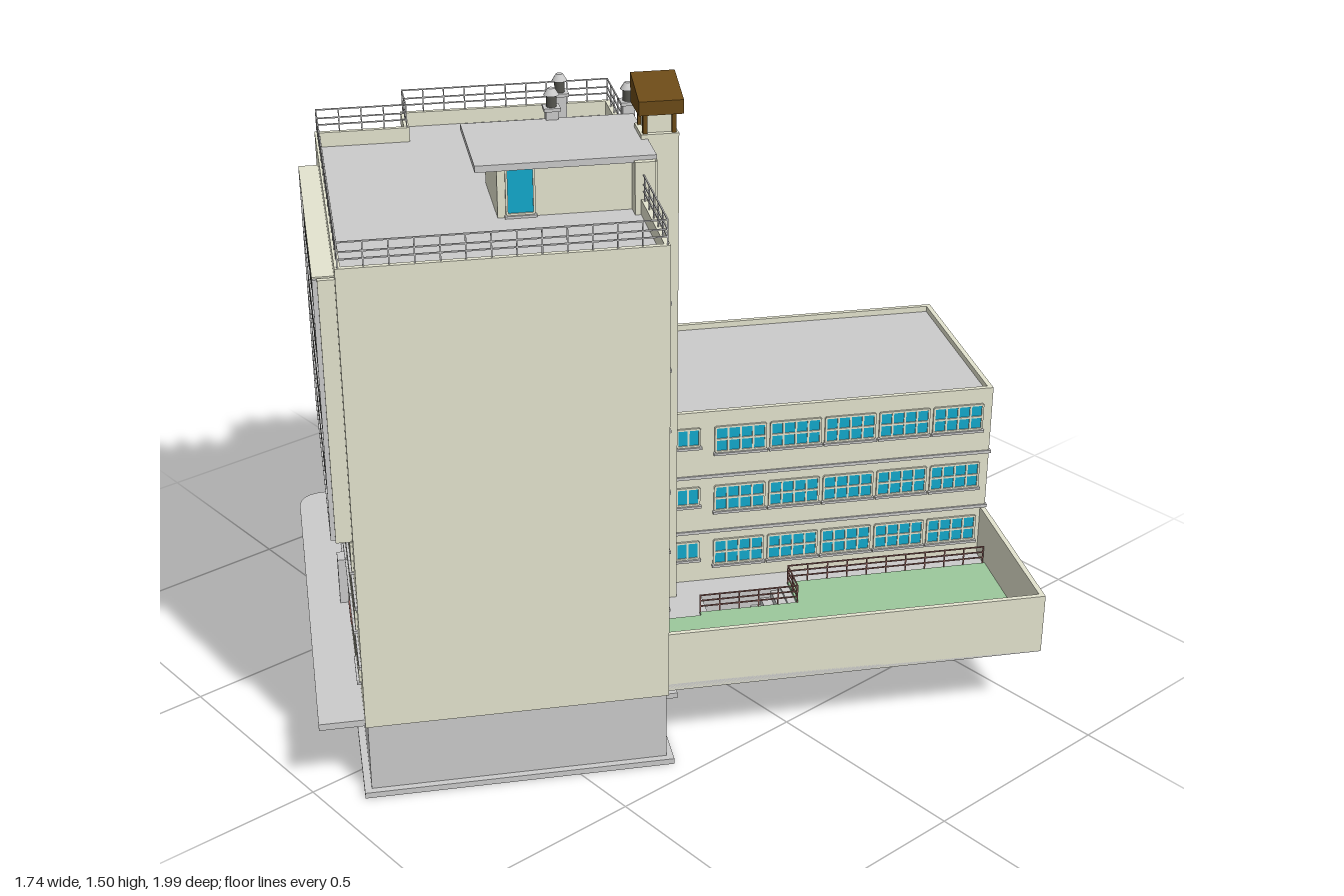
import * as THREE from 'three';

const mat = (color, side = THREE.FrontSide) => new THREE.MeshStandardMaterial({ color, side });
const CREAM = mat(0xe4e4cf), GREY = mat(0xcccccc), GLASS = mat(0x12a9cc), GREEN = mat(0x9cc89c),
  BROWN = mat(0x6b4a17), RED = mat(0x8f625c), DARK = mat(0x55554f);

export function createModel() {
  const root = new THREE.Group();
  root.name = 'officeBuilding';
  const site = new THREE.Group(); // plan axes of the building, turned 30 degrees
  site.name = 'site';
  site.rotation.y = -Math.PI / 6;
  root.add(site);

  const add = (name, geo, m, parent = site) => {
    const mesh = new THREE.Mesh(geo, m);
    mesh.name = name;
    parent.add(mesh);
    return mesh;
  };
  // box given by its limits
  const box = (name, x0, x1, y0, y1, z0, z1, m, parent) => {
    const g = new THREE.BoxGeometry(x1 - x0, y1 - y0, z1 - z0);
    g.translate((x0 + x1) / 2, (y0 + y1) / 2, (z0 + z1) / 2);
    return add(name, g, m, parent);
  };
  // vertical prism over a plan outline of [x, z] corners
  const toPts = (pts) => pts.map(([x, z]) => new THREE.Vector2(x, -z));
  const prism = (name, pts, y0, y1, m, hole) => {
    const s = new THREE.Shape(toPts(pts));
    if (hole) s.holes.push(new THREE.Path(toPts(hole)));
    const g = new THREE.ExtrudeGeometry(s, { depth: y1 - y0, bevelEnabled: false });
    g.rotateX(-Math.PI / 2).translate(0, y0, 0);
    return add(name, g, m);
  };
  // move the sides of a right-angled outline inward by t
  const inset = (pts, t) => {
    const n = pts.length;
    const sign = Math.sign(THREE.ShapeUtils.area(pts.map(([x, y]) => ({ x, y }))));
    const normal = (p, q) => {
      const l = Math.hypot(q[0] - p[0], q[1] - p[1]);
      return [-sign * (q[1] - p[1]) / l, sign * (q[0] - p[0]) / l];
    };
    return pts.map((p, i) => {
      const a = normal(pts[(i + n - 1) % n], p), b = normal(p, pts[(i + 1) % n]);
      return [p[0] + t * (a[0] + b[0]), p[1] + t * (a[1] + b[1])];
    });
  };
  // solid block with a sunken flat roof and a parapet
  const block = (name, pts, y0, y1, drop) => {
    prism(name + 'Walls', pts, y0, y1 - drop - 0.004, CREAM);
    prism(name + 'Roof', inset(pts, 0.002), y1 - drop - 0.004, y1 - drop, GREY);
    prism(name + 'Parapet', pts, y1 - drop - 0.004, y1, CREAM, inset(pts, 0.012));
  };
  // group placed on a wall: local x runs along it, local z points out
  const TURN = { front: 0, right: Math.PI / 2, back: Math.PI, left: -Math.PI / 2 };
  const onWall = (name, side, plane, along, y) => {
    const g = new THREE.Group();
    g.name = name;
    const alongX = side === 'front' || side === 'back';
    g.position.set(alongX ? along : plane, y, alongX ? plane : along);
    g.rotation.y = TURN[side];
    site.add(g);
    return g;
  };
  const glazing = (side, plane, along, y, w, h, panes, rows = 1, name = 'window') => {
    const g = onWall(name, side, plane, along, y), b = 0.005;
    box('glass', -w / 2, w / 2, -h / 2, h / 2, -0.004, 0.002, GLASS, g);
    for (let i = 0; i <= panes; i++) {
      const x = -w / 2 + (w * i) / panes;
      box('mullion', x - b / 2, x + b / 2, -h / 2, h / 2, -0.004, 0.005, CREAM, g);
    }
    for (let j = 0; j <= rows; j++) {
      const yy = -h / 2 + (h * j) / rows;
      box('rail', -w / 2, w / 2, yy - b / 2, yy + b / 2, -0.004, 0.005, CREAM, g);
    }
    box('sill', -w / 2 - 0.005, w / 2 + 0.005, -h / 2 - 0.008, -h / 2 - 0.002, -0.004, 0.01, GREY, g);
    return g;
  };
  // strip of equal windows between two points along a wall
  const strip = (side, plane, from, to, y, h, count, panes) => {
    const step = (to - from) / count;
    for (let i = 0; i < count; i++) glazing(side, plane, from + step * (i + 0.5), y, step * 0.9, h, panes, 2);
  };
  const railing = (name, pts, y, heights, m) => {
    const g = new THREE.Group();
    g.name = name;
    site.add(g);
    const r = 0.0015, top = heights[heights.length - 1];
    for (let i = 0; i + 1 < pts.length; i++) {
      const [x0, z0] = pts[i], [x1, z1] = pts[i + 1];
      for (const h of heights)
        box('bar', Math.min(x0, x1) - r, Math.max(x0, x1) + r, y + h - r, y + h + r,
          Math.min(z0, z1) - r, Math.max(z0, z1) + r, m, g);
      const n = Math.max(1, Math.round(Math.hypot(x1 - x0, z1 - z0) / 0.05));
      for (let k = 0; k <= n; k++) {
        const x = x0 + ((x1 - x0) * k) / n, z = z0 + ((z1 - z0) * k) / n;
        box('post', x - r, x + r, y, y + top, z - r, z + r, m, g);
      }
    }
  };

  // basement, its footing and rear steps
  const basement = [[0.53, 0.735], [0.53, 0.06], [0.27, 0.06], [0.27, 0], [0.155, 0], [0.155, -0.08], [0.235, -0.08],
    [0.235, -0.32], [0.155, -0.32], [0.155, -0.835], [-0.43, -0.835], [-0.43, 0.53], [-0.32, 0.53], [-0.32, 0.735]];
  prism('footing', inset(basement, -0.016), 0, 0.014, GREY);
  const stairHole = [[0.15, -0.3], [0.225, -0.3], [0.225, -0.1], [0.15, -0.1]];
  prism('basementWalls', basement, 0.014, 0.18, GREY, stairHole);
  for (let i = 0; i < 8; i++) box('gardenStep', 0.15, 0.225, 0.014, 0.19 - i * 0.018, -0.3 + i * 0.025, -0.275 + i * 0.025, GREY);
  box('basementStep', 0.16, 0.26, 0.014, 0.035, -0.06, 0, GREY);

  // pavement slab with one rounded corner
  const pave = new THREE.Shape();
  pave.moveTo(-0.552, 0.835).lineTo(-0.552, -0.77).quadraticCurveTo(-0.552, -0.842, -0.48, -0.842)
    .lineTo(0.525, -0.842).lineTo(0.525, -0.7).lineTo(0.08, -0.7).lineTo(0.08, 0.835);
  const paveGeo = new THREE.ExtrudeGeometry(pave, { depth: 0.016, bevelEnabled: false });
  add('pavement', paveGeo.rotateX(-Math.PI / 2).translate(0, 0.18, 0), GREY);

  // garden terrace with walls, lawn and stair rail
  prism('gardenSlab', [[0.08, 0.055], [0.515, 0.055], [0.515, -0.838], [0.08, -0.838]], 0.18, 0.197, GREY, stairHole);
  prism('lawn', [[0.14, -0.826], [0.503, -0.826], [0.503, 0.055], [0.25, 0.055], [0.25, -0.08], [0.235, -0.08],
    [0.235, -0.32], [0.14, -0.32]], 0.197, 0.204, GREEN);
  box('gardenSideWall', 0.503, 0.515, 0.18, 0.33, -0.838, 0.06, CREAM);
  box('gardenBackWall', 0.08, 0.503, 0.18, 0.33, -0.838, -0.826, CREAM);
  railing('gardenRail', [[0.14, -0.82], [0.14, -0.32], [0.235, -0.32], [0.235, -0.08]], 0.2, [0.02, 0.035, 0.05], RED);

  // low wing
  const wing = [[-0.435, 0.03], [0.08, 0.03], [0.08, -0.838], [-0.435, -0.838]];
  block('wing', wing, 0.18, 0.66, 0.015);
  for (const y of [0.33, 0.482]) prism('wingBand', inset(wing, -0.004), y, y + 0.008, GREY);
  for (const y of [0.275, 0.425, 0.585]) {
    strip('right', 0.08, -0.82, -0.14, y, 0.065, 5, 4);
    glazing('right', 0.08, -0.08, y + 0.01, 0.055, 0.045, 2);
    strip('left', -0.435, -0.81, 0, y, 0.07, 6, 4);
  }
  box('wallLampArm', -0.48, -0.435, 0.6, 0.604, -0.166, -0.162, DARK);
  add('wallLamp', new THREE.SphereGeometry(0.014, 12, 8).translate(-0.482, 0.602, -0.164), GREY);

  // tower: lower part set back at the corner, upper part overhanging
  const plan = (x) => [[0.533, 0.74], [0.533, 0.055], [0.13, 0.055], [0.13, 0.018], [-0.43, 0.018], [-0.43, 0.53], [x, 0.53], [x, 0.74]];
  const upper = plan(-0.32);
  prism('towerBase', plan(-0.2), 0.18, 0.48, CREAM);
  block('tower', upper, 0.48, 1.28, 0.035);
  const rim = inset(upper, 0.006);
  railing('roofRailing', [...rim, rim[0]], 1.28, [0.018, 0.034, 0.055], GREY);
  box('frontBand', -0.2, 0.53, 0.33, 0.337, 0.735, 0.745, GREY);
  box('frontBand', -0.32, 0.53, 0.482, 0.489, 0.735, 0.745, GREY);

  // front and left windows of the lower floors, entrances
  for (const y of [0.425, 0.575]) {
    strip('front', 0.74, -0.185, 0.465, y, 0.07, 4, 4);
    strip('left', -0.43, 0.03, 0.5, y, 0.07, 3, 4);
  }
  glazing('front', 0.74, -0.105, 0.278, 0.15, 0.065, 4, 2);
  glazing('front', 0.74, 0.09, 0.255, 0.125, 0.115, 4, 1, 'entranceDoor');
  glazing('front', 0.74, 0.245, 0.255, 0.15, 0.115, 3, 1, 'entranceDoor');
  glazing('front', 0.74, 0.41, 0.285, 0.1, 0.055, 2);
  box('entrancePier', -0.02, 0.02, 0.196, 0.315, 0.74, 0.765, GREY);
  box('entranceSign', 0.2, 0.29, 0.3, 0.312, 0.74, 0.75, RED);
  box('sideGate', -0.436, -0.43, 0.196, 0.3, 0.04, 0.2, GREY);
  glazing('left', -0.43, 0.27, 0.275, 0.09, 0.06, 3);
  box('sideDoor', -0.436, -0.43, 0.196, 0.3, 0.37, 0.42, GREY);
  box('planter', -0.43, -0.2, 0.196, 0.204, 0.53, 0.64, GREEN);
  box('bench', -0.4, -0.35, 0.196, 0.25, 0.6, 0.66, GREY);

  // tower windows above
  [0.425, 0.575, 0.725, 0.875, 1.02, 1.175].forEach((y, i) => {
    for (const x of [0.35, 0.45]) glazing('back', 0.055, x, y, 0.085, 0.075, 2);
    if (i > 0) for (const z of [0.585, 0.685]) glazing('left', -0.32, z, y, 0.08, 0.07, 2);
    if (i > 2) glazing('back', 0.018, -0.09, y, 0.07, 0.075, 2);
  });
  box('blindWindow', -0.125, -0.055, 0.69, 0.76, 0.014, 0.02, GREY);

  // projecting screened bays: floor slabs, posts and groups of upright slats
  const bay = (side, plane, along, w, depth) => {
    const g = onWall(side + 'Bay', side, plane, along, 0);
    box('panel', -w / 2 + 0.006, w / 2 - 0.006, 0.635, 1.232, 0, depth - 0.012, GREY, g);
    for (const s of [-1, 1]) box('cheek', s * w / 2 - 0.006, s * w / 2 + 0.006, 0.63, 1.236, 0, depth, GREY, g);
    box('bayRoof', -w / 2, w / 2, 1.232, 1.24, 0, depth, CREAM, g);
    for (let f = 0; f < 4; f++) {
      const y = 0.63 + f * 0.15;
      box('floorSlab', -w / 2, w / 2, y, y + 0.01, 0, depth, GREY, g);
      box('panelJoint', -0.003, 0.003, y, y + 0.15, 0, depth - 0.006, GREY, g);
      const groups = Math.round(w / 0.13);
      for (let k = 0; k < groups; k++) for (let j = 0; j < 7; j++) {
        const x = -w / 2 + ((k + 0.5) * w) / groups + (j - 3) * 0.014;
        box('slat', x - 0.002, x + 0.002, y + 0.01, y + 0.062, depth - 0.014, depth - 0.003, DARK, g);
      }
    }
  };
  bay('front', 0.74, 0.135, 0.67, 0.045);
  bay('left', -0.43, 0.26, 0.48, 0.052);
  box('frontFin', 0.478, 0.49, 0.63, 1.24, 0.74, 0.775, CREAM);

  // glazed stair shaft, chimney and roof house
  box('stairShaft', 0.145, 0.262, 0.197, 1.365, 0.035, 0.08, CREAM);
  for (let i = 0; i < 7; i++) glazing('back', 0.035, 0.204, 0.405 + i * 0.148, 0.1, 0.14, 3, 2, 'stairGlazing');
  box('roofHouse', 0.0, 0.225, 1.24, 1.36, 0.05, 0.375, CREAM);
  box('roofHouseSlab', -0.035, 0.248, 1.36, 1.375, 0.03, 0.424, GREY);
  glazing('right', 0.225, 0.325, 1.305, 0.06, 0.105, 1, 1, 'roofDoor');
  box('chimney', 0.06, 0.145, 0.197, 1.385, -0.04, 0.045, CREAM);
  for (const x of [0.065, 0.13]) for (const z of [-0.035, 0.03]) box('chimneyPost', x, x + 0.01, 1.385, 1.44, z, z + 0.01, BROWN);
  box('chimneyFlue', 0.073, 0.132, 1.385, 1.43, -0.027, 0.032, CREAM);
  const cap = new THREE.BoxGeometry(0.105, 0.036, 0.1);
  const p = cap.attributes.position;
  for (let i = 0; i < p.count; i++) if (p.getY(i) > 0) p.setY(i, 0.032 - p.getX(i) * 0.34);
  cap.computeVertexNormals();
  add('chimneyCap', cap, BROWN).position.set(0.103, 1.45, 0.002);

  // roof vents
  for (const [x, z] of [[-0.137, 0.183], [-0.036, 0.217], [-0.047, 0.04]]) {
    box('ventStack', x - 0.014, x + 0.014, 1.24, 1.4, z - 0.014, z + 0.014, GREY);
    box('ventCollar', x - 0.019, x + 0.019, 1.395, 1.403, z - 0.019, z + 0.019, GREY);
    add('ventPipe', new THREE.CylinderGeometry(0.012, 0.012, 0.03, 12).translate(x, 1.417, z), DARK);
    add('ventCap', new THREE.CylinderGeometry(0.008, 0.018, 0.016, 12).translate(x, 1.438, z), GREY);
  }
  return root;
}
